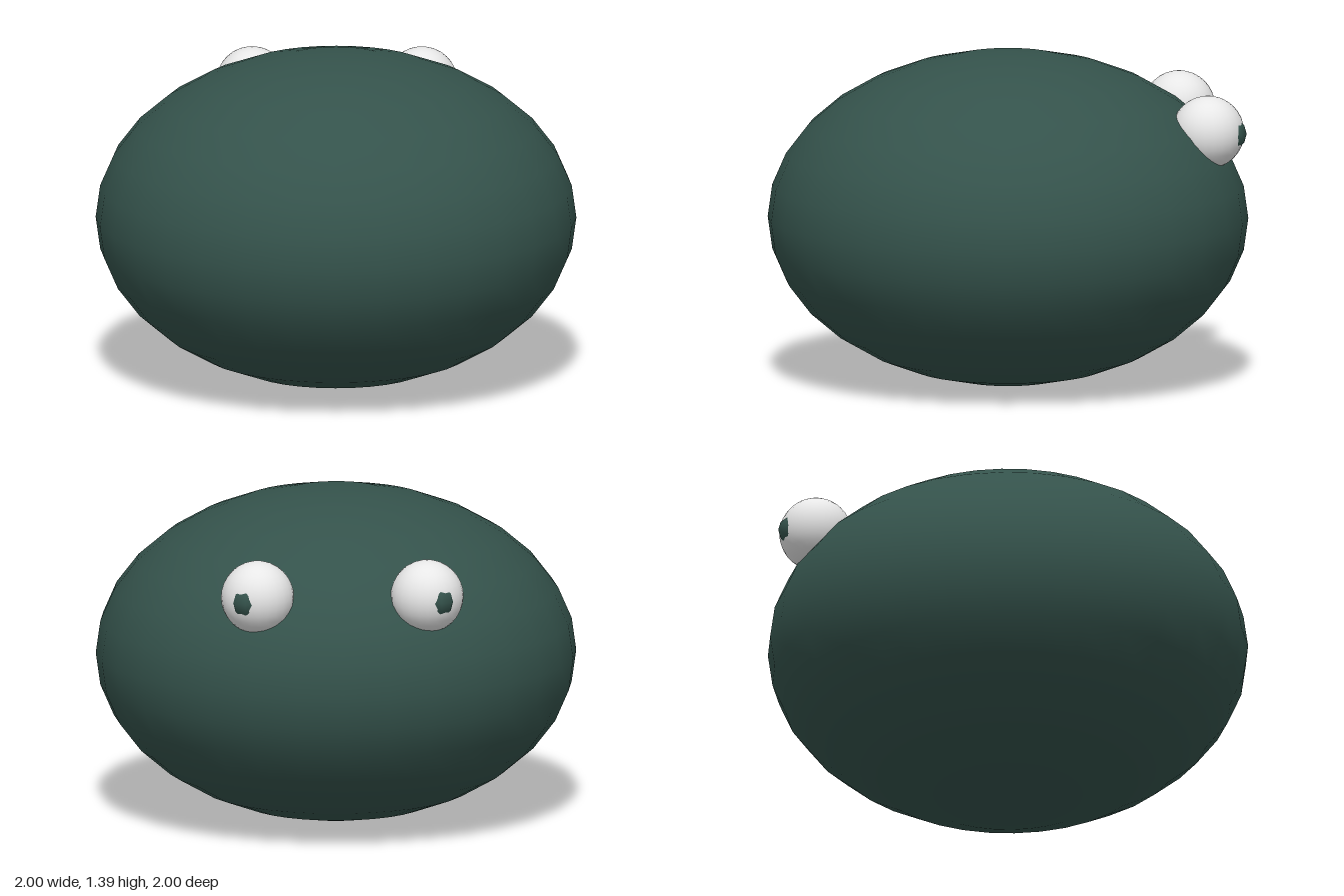
import * as THREE from 'three';

export function createModel() {
  const model = new THREE.Group();
  const darkGreen = new THREE.MeshStandardMaterial({ name: 'dark green', color: 0x34524b });
  const eyeWhite = new THREE.MeshStandardMaterial({ name: 'eye white', color: 0xeeeeee });

  // Adds one smooth ball, optionally flattened in height
  function addBall(parent, name, material, radius, [x, y, z], [across, down], flatten = 1) {
    const ball = new THREE.Mesh(new THREE.SphereGeometry(radius, across, down), material);
    ball.name = name;
    ball.position.set(x, y, z);
    ball.scale.y = flatten;
    parent.add(ball);
    return ball;
  }

  // Flattened round body
  addBall(model, 'body', darkGreen, 1, [0, 0.695, 0], [32, 16], 0.695);

  // A pair of bulging eyes, each with a pupil looking back and slightly outwards
  for (const [side, s] of [['left', 1], ['right', -1]]) {
    const eye = new THREE.Group();
    eye.name = side + 'Eye';
    eye.position.set(s * 0.353, 1.085, -0.783);
    addBall(eye, side + 'Eyeball', eyeWhite, 0.152, [0, 0, 0], [24, 16]);
    const pupil = addBall(eye, side + 'Pupil', darkGreen, 0.072, [s * 0.042, -0.003, -0.083], [8, 6]);
    pupil.rotation.y = -s * 0.2;
    model.add(eye);
  }

  return model;
}
